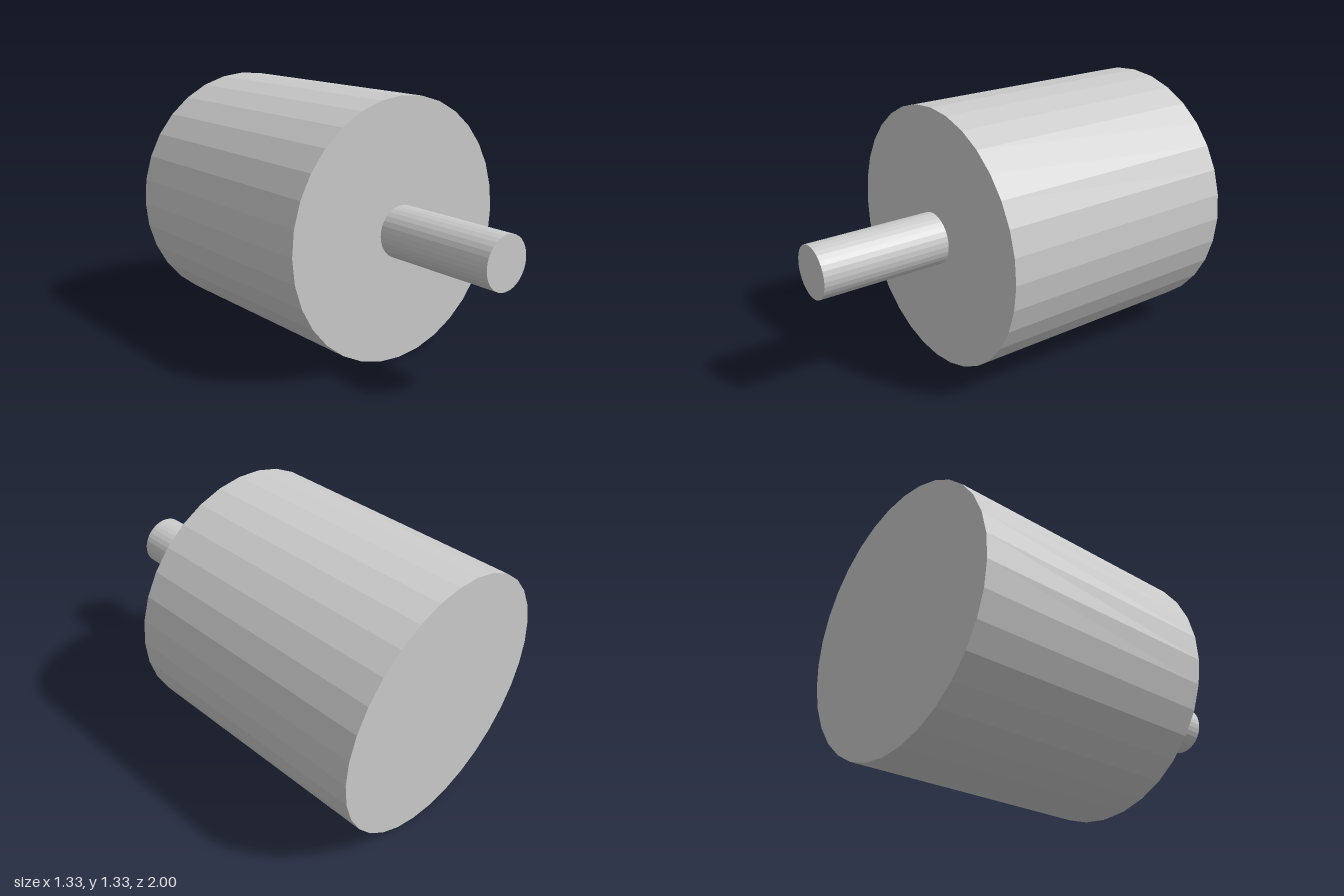
import * as THREE from 'three';

const SIDES = 32;
const RADIUS = 0.6667;

export function createModel() {
  const group = new THREE.Group();
  const material = new THREE.MeshStandardMaterial({ color: 0xcccccc, flatShading: true });

  // Faceted cylinder lying along z, from zBack to zFront
  function addCylinder(name, radius, zBack, zFront) {
    const geometry = new THREE.CylinderGeometry(radius, radius, zFront - zBack, SIDES);
    geometry.rotateX(Math.PI / 2);
    const mesh = new THREE.Mesh(geometry, material);
    mesh.name = name;
    mesh.position.set(0, RADIUS, (zBack + zFront) / 2);
    group.add(mesh);
  }

  // Wide drum at the back, thin shaft out of its front
  addCylinder('drum', RADIUS, -1, 0.3333);
  addCylinder('shaft', 0.1333, 0.3333, 1);

  return group;
}
